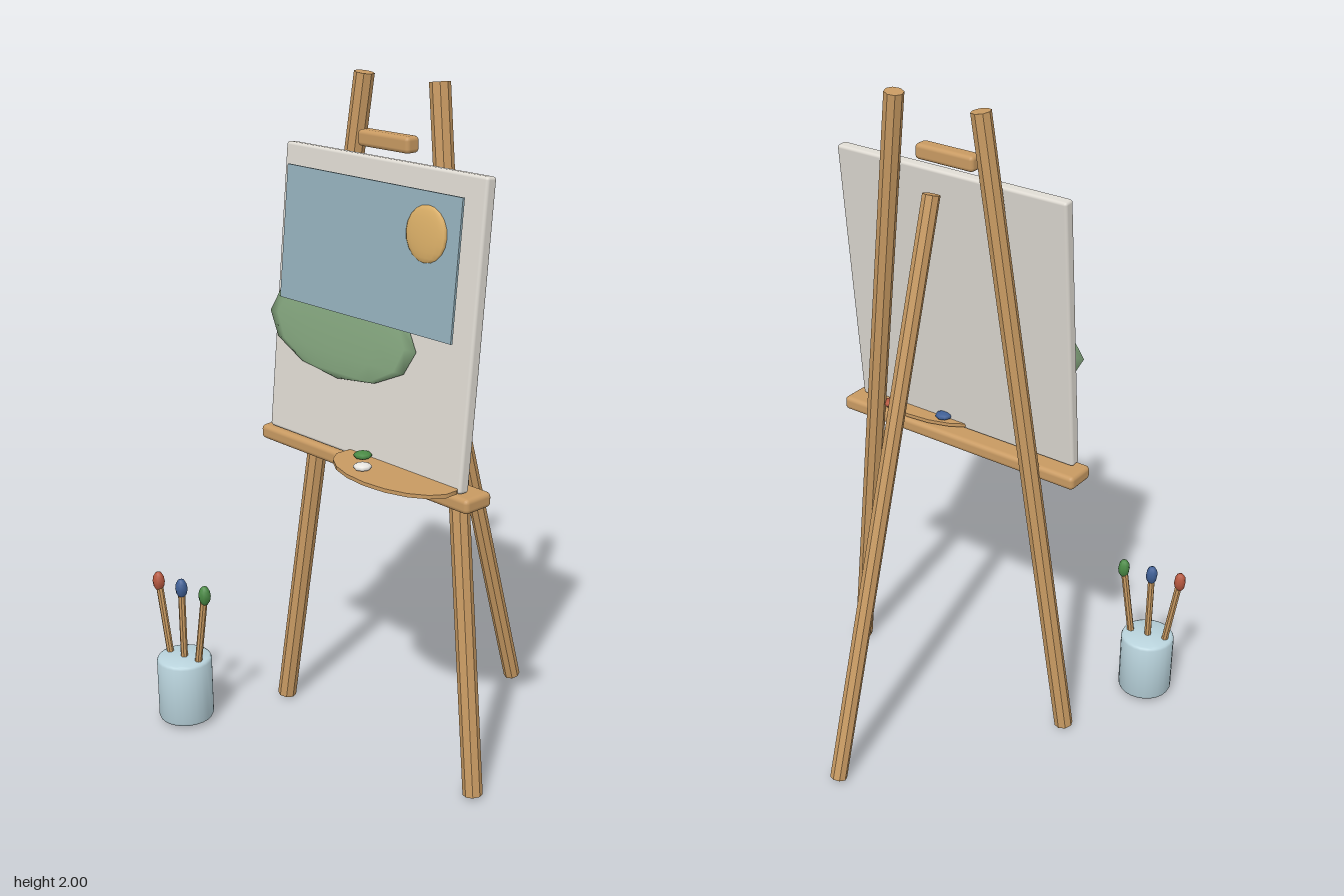
import * as THREE from 'three';
import { RoundedBoxGeometry } from 'three/addons/geometries/RoundedBoxGeometry.js';
import { toCreasedNormals } from 'three/addons/utils/BufferGeometryUtils.js';

const mat = (color, flatShading = false) => new THREE.MeshStandardMaterial({ color, flatShading });
const wood = mat(0xc89a62);
const woodFlat = mat(0xc89a62, true);
const red = mat(0xb5573f), blue = mat(0x3f5f95), green = mat(0x4a8a45), white = mat(0xe8e6e0);

function add(parent, name, geometry, material, x = 0, y = 0, z = 0) {
  const mesh = new THREE.Mesh(geometry, material);
  mesh.name = name;
  mesh.position.set(x, y, z);
  parent.add(mesh);
  return mesh;
}

// Round bar running between two points
function bar(parent, name, a, b, radius, sides, material) {
  const from = new THREE.Vector3(...a), to = new THREE.Vector3(...b);
  const dir = to.clone().sub(from);
  const mesh = add(parent, name, new THREE.CylinderGeometry(radius, radius, dir.length(), sides), material);
  mesh.position.copy(from).add(to).multiplyScalar(0.5);
  mesh.quaternion.setFromUnitVectors(new THREE.Vector3(0, 1, 0), dir.normalize());
  return mesh;
}

function ellipsoid(parent, name, [rx, ry, rz], [x, y, z], material, w = 8, h = 6) {
  return add(parent, name, new THREE.SphereGeometry(1, w, h).scale(rx, ry, rz), material, x, y, z);
}

export function createModel() {
  const model = new THREE.Group();
  model.name = 'paintersEasel';
  const cx = 0.09; // middle of the easel

  // Three legs
  const easel = new THREE.Group();
  easel.name = 'easel';
  model.add(easel);
  for (const s of [-1, 1]) {
    bar(easel, s < 0 ? 'rightFrontLeg' : 'leftFrontLeg',
      [cx + s * 0.412, 0.008, 0.118], [cx + s * 0.146, 1.995, 0.015], 0.029, 8, woodFlat);
  }
  bar(easel, 'backLeg', [cx, 0.008, -0.504], [cx, 1.74, -0.012], 0.026, 8, woodFlat);

  // Ledge and top clamp
  add(easel, 'ledge', new RoundedBoxGeometry(0.86, 0.044, 0.1, 2, 0.014), wood, cx, 0.916, 0.134);
  add(easel, 'topClamp', new RoundedBoxGeometry(0.2, 0.046, 0.048, 2, 0.012), wood, cx, 1.828, 0.064);

  // Canvas with its painting, leaning back together
  const picture = new THREE.Group();
  picture.name = 'picture';
  picture.position.set(cx, 1.362, 0.115);
  picture.rotation.x = -0.1;
  model.add(picture);
  add(picture, 'canvas', new RoundedBoxGeometry(0.79, 0.847, 0.036, 2, 0.009), mat(0xdedad2));
  add(picture, 'paintedSky', new THREE.BoxGeometry(0.69, 0.384, 0.007), mat(0x94b0bb), 0, 0.173, 0.047);
  ellipsoid(picture, 'paintedHill', [0.306, 0.14, 0.012], [-0.105, -0.073, 0.028], mat(0x86a880), 12, 6);
  ellipsoid(picture, 'paintedSun', [0.077, 0.077, 0.012], [0.225, 0.253, 0.05], mat(0xdcb068), 14, 10);

  // Palette with blobs of paint
  const palette = new THREE.Group();
  palette.name = 'palette';
  model.add(palette);
  const board = new THREE.CylinderGeometry(1, 1, 0.011, 18).scale(0.22, 1, 0.118);
  add(palette, 'paletteBoard', toCreasedNormals(board, 0.6), wood, 0.265, 0.952, 0.203);
  const blobs = [[0.195, 0.26, white], [0.128, 0.197, green], [0.16, 0.13, blue], [0.34, 0.1, red]];
  for (const [x, z, m] of blobs) ellipsoid(palette, 'paintBlob', [0.027, 0.011, 0.027], [x, 0.967, z], m);

  // Brush pot with rounded rims
  const pot = new THREE.Group();
  pot.name = 'brushPot';
  pot.position.set(-0.428, 0, 0.44);
  model.add(pot);
  const profile = [[0, 0.012], [0.076, 0.012], [0.082, 0.015], [0.085, 0.022],
    [0.085, 0.206], [0.082, 0.213], [0.076, 0.216], [0, 0.216]].map(p => new THREE.Vector2(...p));
  add(pot, 'pot', toCreasedNormals(new THREE.LatheGeometry(profile, 24), 0.9), mat(0xb9d3dc));

  // Brushes fanning out of the pot
  [[-1, red], [0, blue], [1, green]].forEach(([s, m]) => {
    const brush = new THREE.Group();
    brush.name = 'brush';
    pot.add(brush);
    bar(brush, 'brushHandle', [s * 0.04, 0.1, -s * 0.008], [s * 0.088, 0.425, -s * 0.018], 0.011, 8, woodFlat);
    ellipsoid(brush, 'brushTip', [0.019, 0.032, 0.019], [s * 0.091, 0.445, -s * 0.019], m);
  });

  return model;
}
